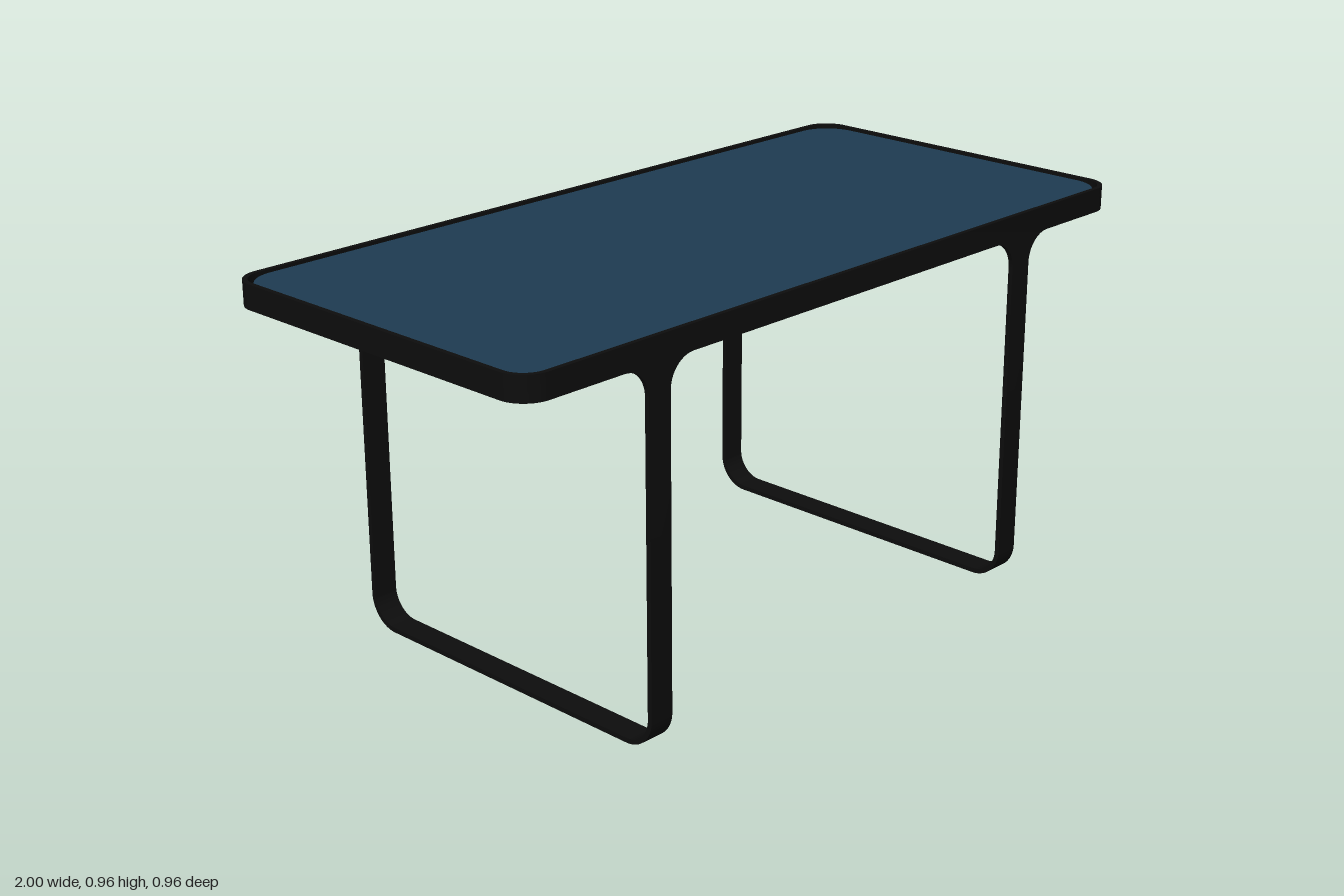
import * as THREE from 'three';
import { toCreasedNormals } from 'three/addons/utils/BufferGeometryUtils.js';

const BAR = 0.012;              // thickness of the flat metal bar
const HALF_X = 1, HALF_Z = 0.478;
const RIM_Y = 0.9, TOP_Y = 0.96;
const LEG_X = 0.622, LEG_HALF = 0.032;

// Rounded rectangle with half sizes a, b and corner radius r
function roundedRect(a, b, r, Type = THREE.Shape) {
  const s = new Type();
  s.moveTo(a, -b + r);
  s.absarc(a - r, b - r, r, 0, Math.PI / 2);
  s.absarc(-a + r, b - r, r, Math.PI / 2, Math.PI);
  s.absarc(-a + r, -b + r, r, Math.PI, Math.PI * 1.5);
  s.absarc(a - r, -b + r, r, Math.PI * 1.5, Math.PI * 2);
  return s;
}

function extrude(shape, depth) {
  const g = new THREE.ExtrudeGeometry(shape, { depth, bevelEnabled: false, curveSegments: 16 });
  return toCreasedNormals(g, Math.PI / 6);
}

// U-shaped band: x runs along the table depth, y is up
function bandShape() {
  const r = 0.08, h = HALF_Z, i = h - BAR, q = Math.PI / 2;
  const s = new THREE.Shape();
  s.moveTo(-h, RIM_Y);
  s.lineTo(-h, r);
  s.absarc(-h + r, r, r, 2 * q, 3 * q);
  s.absarc(h - r, r, r, 3 * q, 4 * q);
  s.lineTo(h, RIM_Y);
  s.lineTo(i, RIM_Y);
  s.absarc(h - r, r, r - BAR, 4 * q, 3 * q, true);
  s.absarc(-h + r, r, r - BAR, 3 * q, 2 * q, true);
  s.lineTo(-i, RIM_Y);
  s.closePath();
  return s;
}

// Concave corner between leg and rim, growing to +x
function filletShape(side) {
  const r = 0.07, x = side * LEG_HALF;
  const s = new THREE.Shape();
  s.moveTo(x, RIM_Y);
  s.lineTo(x, RIM_Y - r);
  s.absarc(x + side * r, RIM_Y - r, r, side > 0 ? Math.PI : 0, Math.PI / 2, side > 0);
  s.closePath();
  return s;
}

export function createModel() {
  const table = new THREE.Group();
  table.name = 'table';
  const metal = new THREE.MeshStandardMaterial({ color: 0x0d0d0d });
  const panelMaterial = new THREE.MeshStandardMaterial({ color: 0x1e3c52 });

  const add = (parent, name, geometry, material) => {
    const mesh = new THREE.Mesh(geometry, material);
    mesh.name = name;
    parent.add(mesh);
    return mesh;
  };

  // Upright band around the top
  const rimShape = roundedRect(HALF_X, HALF_Z, 0.07);
  rimShape.holes.push(roundedRect(HALF_X - BAR, HALF_Z - BAR, 0.07 - BAR, THREE.Path));
  const rim = extrude(rimShape, TOP_Y - RIM_Y).rotateX(-Math.PI / 2).translate(0, RIM_Y, 0);
  add(table, 'rim', rim, metal);

  // Panel set inside the rim, just below its upper edge
  const panel = extrude(roundedRect(HALF_X - BAR, HALF_Z - BAR, 0.09), 0.022)
    .rotateX(-Math.PI / 2).translate(0, 0.93, 0);
  add(table, 'tabletop', panel, panelMaterial);

  // Two U-shaped legs with flared corners under the rim
  const band = extrude(bandShape(), LEG_HALF * 2)
    .translate(0, 0, -LEG_HALF).rotateY(-Math.PI / 2);
  const fillets = [-1, 1].map((side) => extrude(filletShape(side), BAR));
  for (const side of [-1, 1]) {
    const leg = new THREE.Group();
    leg.name = side > 0 ? 'leftLeg' : 'rightLeg';
    leg.position.x = side * LEG_X;
    add(leg, 'legBand', band, metal);
    for (const z of [HALF_Z - BAR, -HALF_Z]) {
      for (const fillet of fillets) add(leg, 'legFillet', fillet, metal).position.z = z;
    }
    table.add(leg);
  }
  return table;
}
